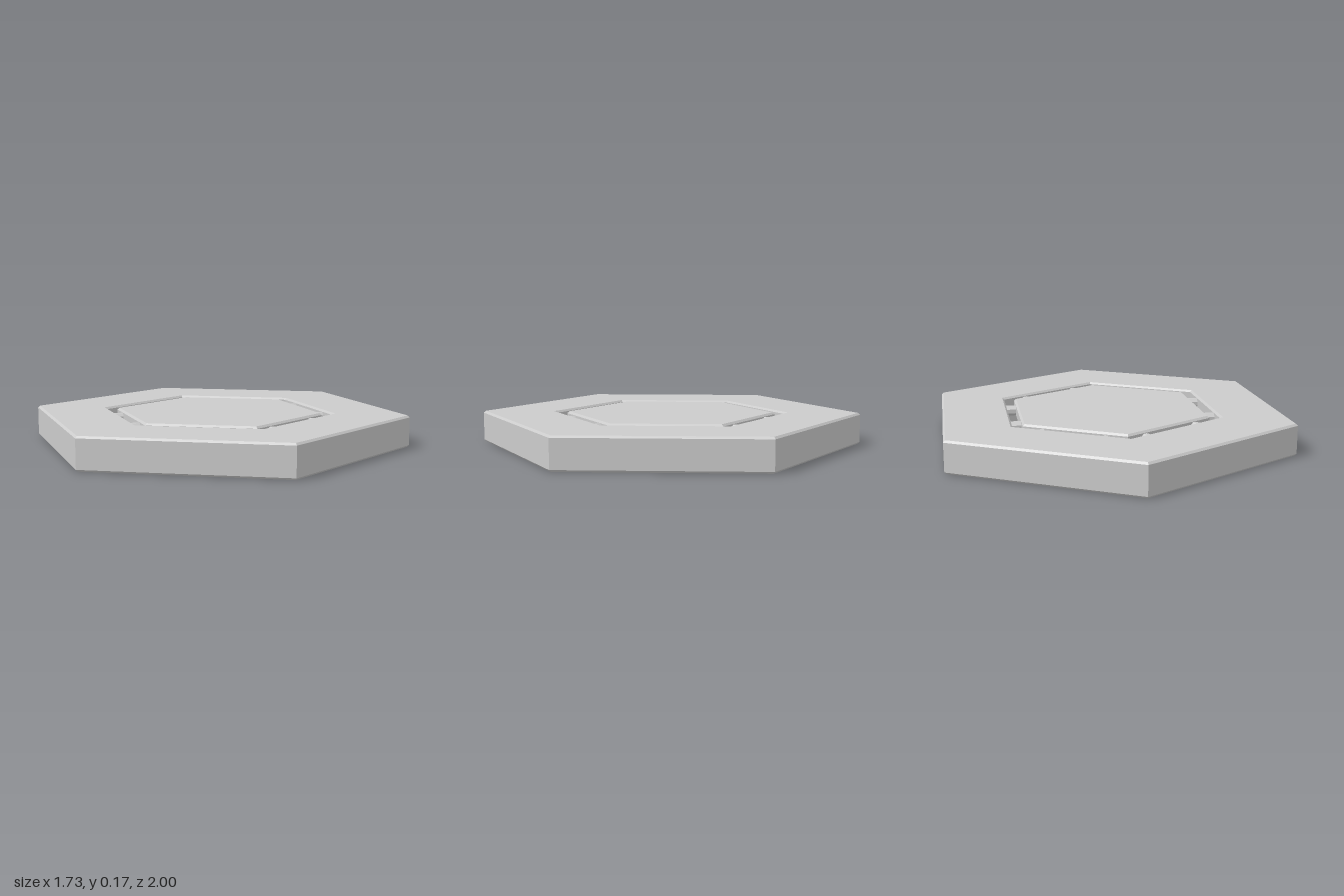
import * as THREE from 'three';

const material = new THREE.MeshStandardMaterial({ color: 0xcccccc, flatShading: true });
const HEIGHT = 0.165;
const BEVEL = 0.01;
const PLATE_BOTTOM = 0.09;
const HOLE_RADIUS = 0.61;
const PLATE_RADIUS = 0.55;
const APOTHEM = Math.cos(Math.PI / 6);

// Corner points of a hexagon with two corners on the z axis
function hexagon(radius) {
  return Array.from({ length: 6 }, (_, i) => {
    const a = Math.PI / 2 + (i * Math.PI) / 3;
    return new THREE.Vector2(radius * Math.cos(a), radius * Math.sin(a));
  });
}

// Chamfered slab lying flat between two heights
function slab(name, shape, bottom, top) {
  const geometry = new THREE.ExtrudeGeometry(shape, {
    depth: top - bottom - 2 * BEVEL,
    bevelThickness: BEVEL,
    bevelSize: BEVEL,
    bevelOffset: -BEVEL,
    bevelSegments: 1,
  });
  geometry.rotateX(-Math.PI / 2);
  geometry.translate(0, bottom + BEVEL, 0);
  const mesh = new THREE.Mesh(geometry, material);
  mesh.name = name;
  return mesh;
}

export function createModel() {
  const model = new THREE.Group();
  model.name = 'hexagonalFrameWithPlate';

  // Outer ring with a hexagonal opening
  const ringShape = new THREE.Shape(hexagon(1));
  ringShape.holes.push(new THREE.Path(hexagon(HOLE_RADIUS).reverse()));
  model.add(slab('outerRing', ringShape, 0, HEIGHT));

  // Thinner centre plate, flush with the top of the ring
  model.add(slab('centrePlate', new THREE.Shape(hexagon(PLATE_RADIUS)), PLATE_BOTTOM, HEIGHT));

  // Two pegs bridging the gap on each of the six sides
  const inner = PLATE_RADIUS * APOTHEM - 0.01;
  const outer = HOLE_RADIUS * APOTHEM + 0.01;
  const pegGeometry = new THREE.CylinderGeometry(0.027, 0.027, outer - inner, 8);
  pegGeometry.rotateY(Math.PI / 8);
  pegGeometry.rotateZ(Math.PI / 2);
  for (let i = 0; i < 6; i++) {
    const side = new THREE.Group();
    side.name = 'pegPair';
    side.rotation.y = (i * Math.PI) / 3;
    for (const s of [-1, 1]) {
      const peg = new THREE.Mesh(pegGeometry, material);
      peg.name = 'peg';
      peg.position.set((inner + outer) / 2, 0.127, s * 0.167);
      side.add(peg);
    }
    model.add(side);
  }
  return model;
}
